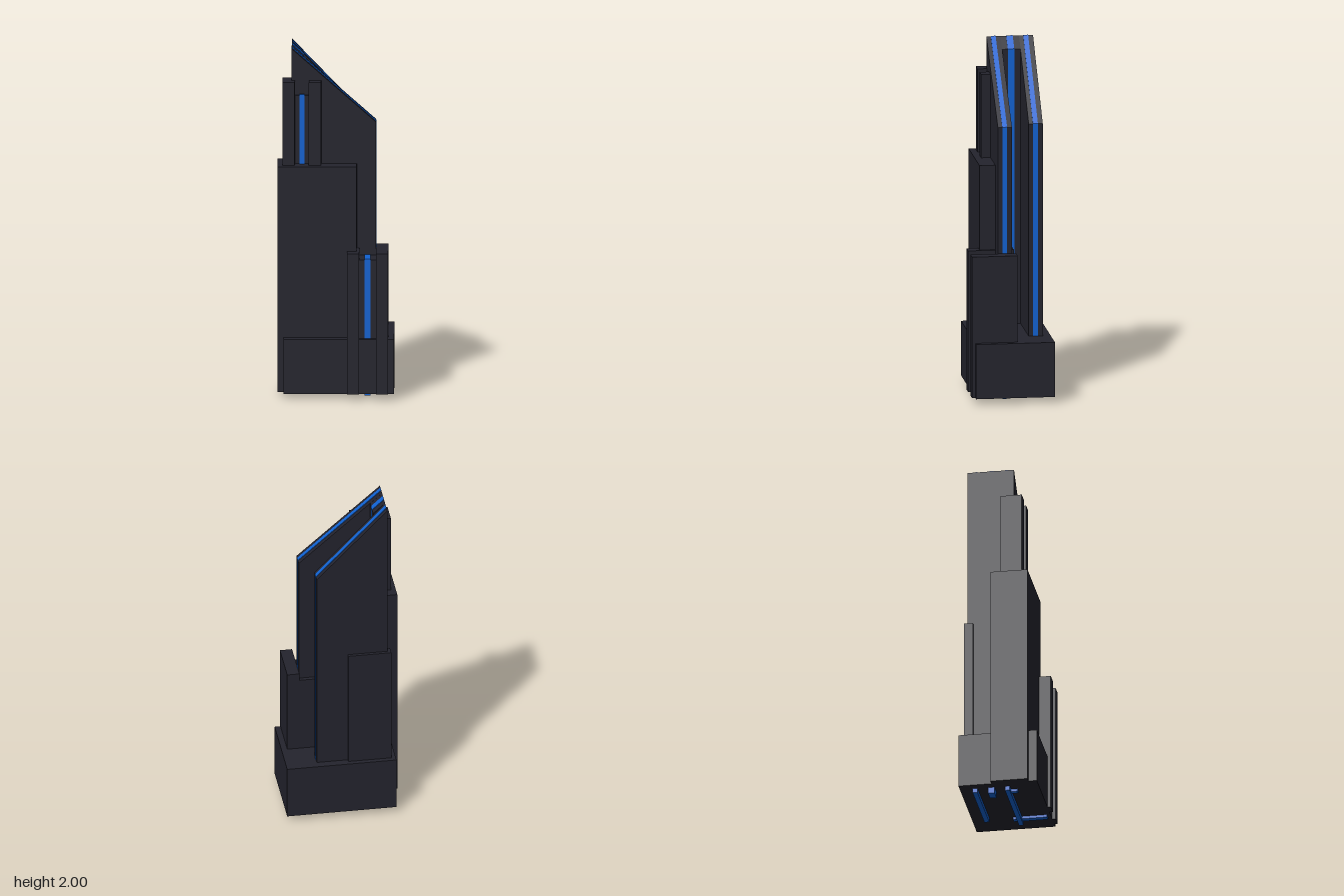
import * as THREE from 'three';

export function createModel() {
  const group = new THREE.Group();
  const stone = new THREE.MeshStandardMaterial({ color: 0x23232d });
  stone.name = 'charcoal';
  const glow = new THREE.MeshStandardMaterial({ color: 0x1162d2 });
  glow.name = 'blue';
  const GROUND = 0.035;

  const add = (name, geometry, material) => {
    const mesh = new THREE.Mesh(geometry, material);
    mesh.name = name;
    group.add(mesh);
  };

  // Upright block given by its limits on each axis
  const block = (name, x0, x1, z0, z1, top, bottom = GROUND, material = stone) => {
    const g = new THREE.BoxGeometry(x1 - x0, top - bottom, z1 - z0);
    g.translate((x0 + x1) / 2, (top + bottom) / 2, (z0 + z1) / 2);
    add(name, g, material);
  };

  // Outline extruded along z
  const prism = (name, points, z0, z1, material) => {
    const shape = new THREE.Shape(points.map(([x, y]) => new THREE.Vector2(x, y)));
    const g = new THREE.ExtrudeGeometry(shape, { depth: z1 - z0, bevelEnabled: false });
    g.translate(0, 0, z0);
    add(name, g, material);
  };

  // Slant-topped tower slab with a blue band over its roof and right edge
  const slab = (name, x1, lowY, z0, z1, b0, b1, bandBottom) => {
    const x0 = -0.25, e = 0.002;
    prism(name, [[x0, GROUND], [x1, GROUND], [x1, lowY], [x0, 1.997]], z0, z1, stone);
    prism(name + 'Band', [[x0 + e, bandBottom], [x1 + e, bandBottom],
      [x1 + e, lowY + e], [x0 + e, 2]], b0, b1, glow);
  };
  slab('frontSlab', 0.225, 1.575, -0.005, 0.075, 0.023, 0.05, 0.01);
  slab('middleSlab', -0.182, 1.935, -0.11, -0.005, -0.074, -0.037, 0);
  slab('backSlab', 0.152, 1.575, -0.19, -0.11, -0.162, -0.134, 0.01);

  // Base and rear buttress
  block('base', -0.295, 0.328, -0.235, 0.213, 0.35);
  block('rearButtress', -0.27, -0.025, -0.208, -0.157, 1.055);

  // Shoulder block wrapping the front and right-hand corner
  block('shoulderFront', -0.33, 0.117, 0, 0.165, 1.335);
  block('shoulderSide', -0.33, -0.245, -0.046, 0, 1.335);

  // Upper pair of piers with a recessed lit panel
  for (const x of [-0.302, -0.153]) block('upperPier', x, x + 0.07, 0.008, 0.128, 1.815);
  block('upperRecess', -0.232, -0.153, 0.02, 0.084, 1.73);
  block('upperLight', -0.205, -0.178, 0.02, 0.088, 1.735, 0.02, glow);

  // Lower pair of piers with a recessed lit panel
  for (const x of [0.063, 0.226]) block('lowerPier', x, x + 0.069, -0.028, 0.232, 0.848);
  block('lowerRecess', 0.132, 0.226, -0.028, 0.19, 0.805);
  block('lowerLight', 0.162, 0.195, 0, 0.193, 0.81, 0.02, glow);

  return group;
}
